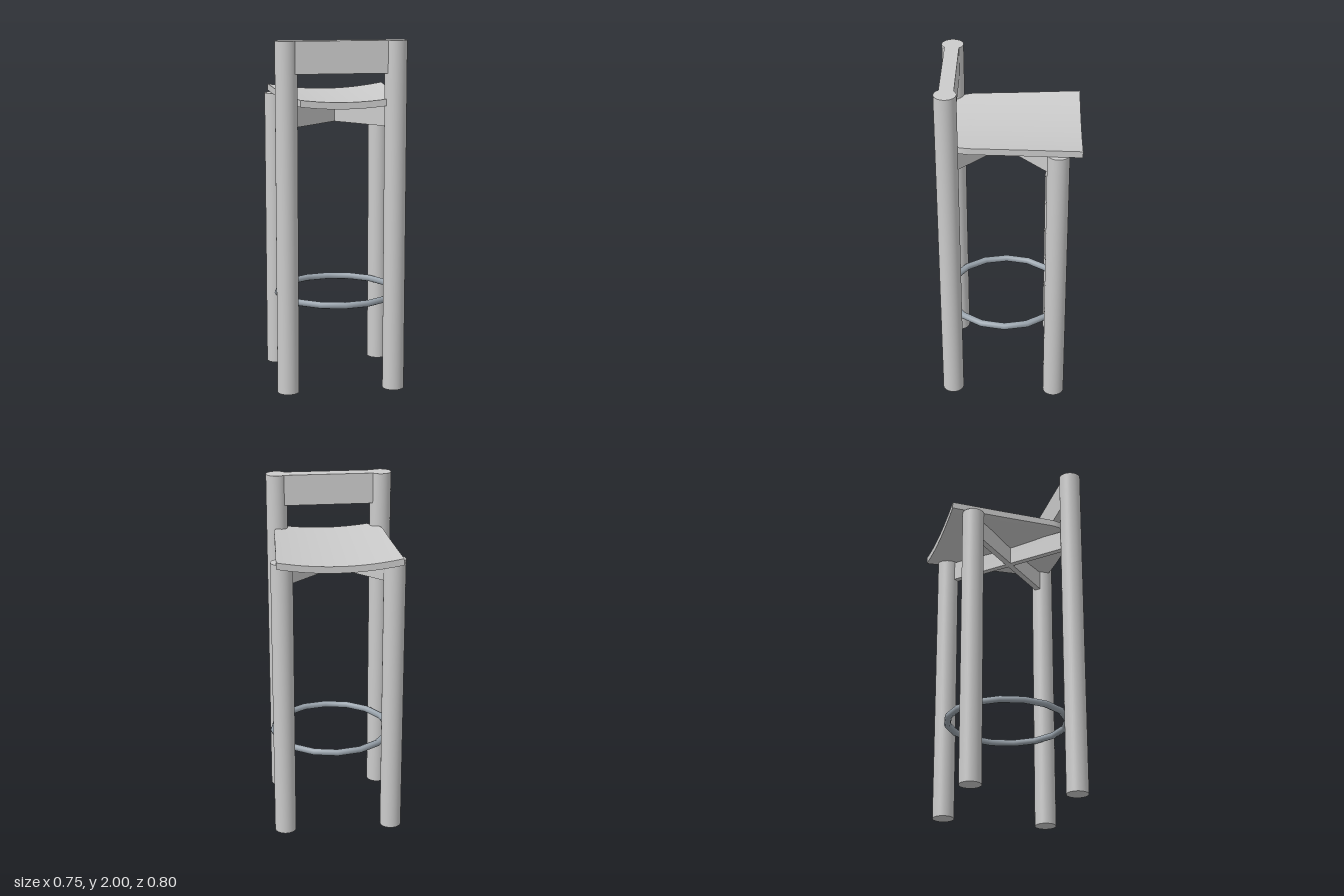
import * as THREE from 'three';

const LEG_R = 0.062;
const grey = new THREE.MeshStandardMaterial({ color: 0xcccccc });
const steel = new THREE.MeshStandardMaterial({ color: 0x9aa4ad });

function add(group, name, geometry, material = grey) {
  const mesh = new THREE.Mesh(geometry, material);
  mesh.name = name;
  group.add(mesh);
  return mesh;
}

// Upright board whose length runs between two [x, z] points
function board(group, name, a, b, bottom, top, thickness) {
  const dx = b[0] - a[0], dz = b[1] - a[1];
  const mesh = add(group, name, new THREE.BoxGeometry(Math.hypot(dx, dz), top - bottom, thickness));
  mesh.position.set((a[0] + b[0]) / 2, (bottom + top) / 2, (a[1] + b[1]) / 2);
  mesh.rotation.y = -Math.atan2(dz, dx);
}

// Dished seat: a box whose rows follow a tapering outline and whose sides curve up
function seatGeometry() {
  const rows = [[-0.4, 0.348], [-0.09, 0.331], [0.22, 0.317], [0.265, 0.305], [0.31, 0.27], [0.362, 0.245]];
  const geometry = new THREE.BoxGeometry(1, 0.038, 1, 20, 1, rows.length - 1);
  const p = geometry.attributes.position;
  for (let i = 0; i < p.count; i++) {
    const [z, half] = rows[Math.round((p.getZ(i) + 0.5) * (rows.length - 1))];
    const x = p.getX(i) * 2 * half;
    p.setXYZ(i, x + 0.003, 1.643 + p.getY(i) + 0.27 * x * x, z);
  }
  geometry.computeVertexNormals();
  return geometry;
}

export function createModel() {
  const stool = new THREE.Group();
  stool.name = 'barStool';

  // Round legs; the back pair rises to carry the backrest
  const legs = {
    backRightLeg: [-0.315, 0.328, 2],
    backLeftLeg: [0.294, 0.336, 2],
    frontRightLeg: [-0.315, -0.27, 1.655],
    frontLeftLeg: [0.312, -0.27, 1.655],
  };
  for (const [name, [x, z, height]] of Object.entries(legs)) {
    add(stool, name, new THREE.CylinderGeometry(LEG_R, LEG_R, height, 40)).position.set(x, height / 2, z);
  }

  add(stool, 'seat', seatGeometry());

  // Backrest between the back legs
  board(stool, 'backrest', [-0.3, 0.331], [0.28, 0.331], 1.82, 2, 0.082);

  // Crossed braces under the seat, from leg to leg
  board(stool, 'braceA', legs.backRightLeg, legs.frontLeftLeg, 1.52, 1.635, 0.035);
  board(stool, 'braceB', legs.backLeftLeg, legs.frontRightLeg, 1.52, 1.635, 0.035);

  // Foot ring
  const ring = add(stool, 'footRing', new THREE.TorusGeometry(0.346, 0.02, 8, 16), steel);
  ring.rotation.x = Math.PI / 2;
  ring.position.set(0.008, 0.508, 0.025);

  return stool;
}
